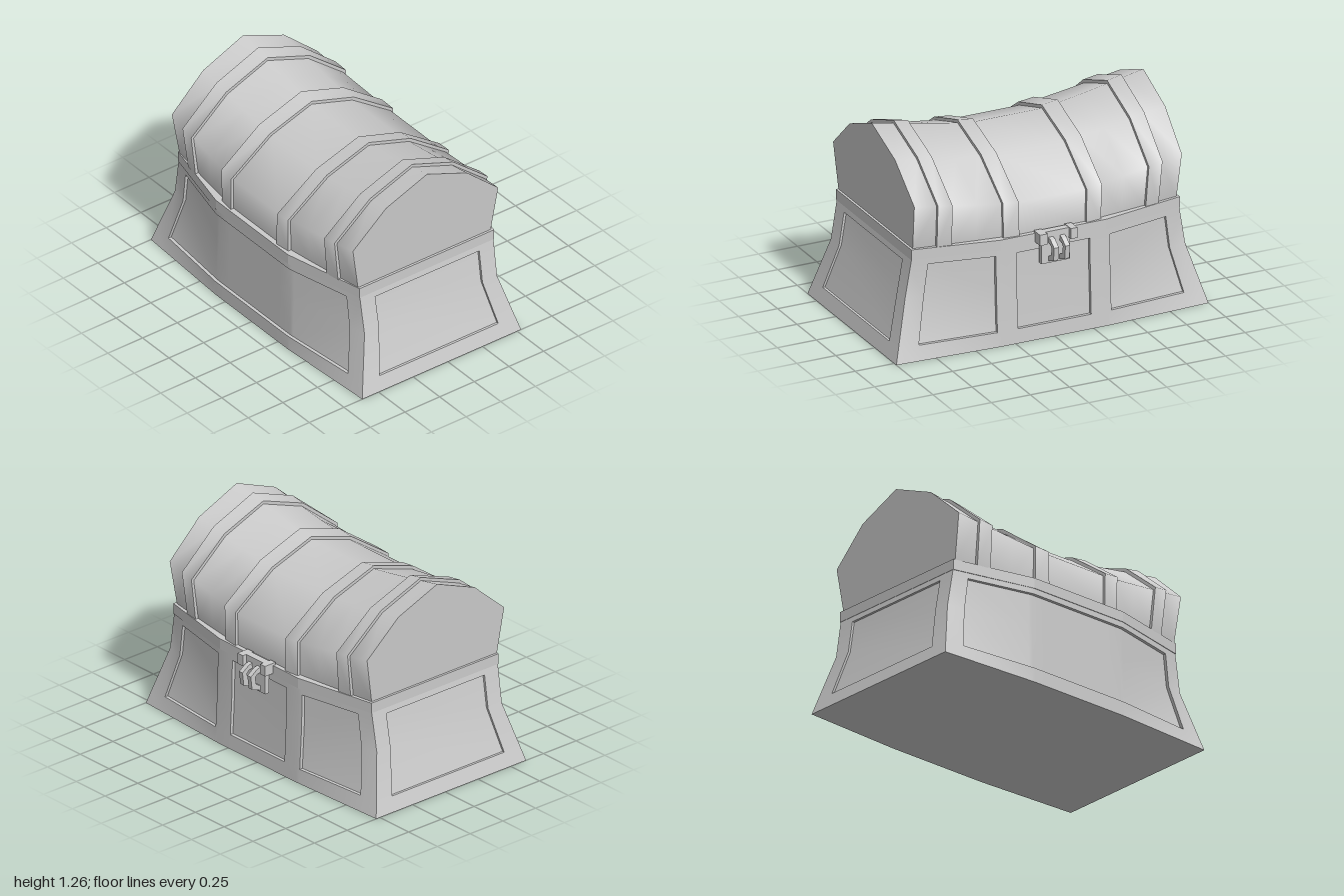
import * as THREE from 'three';
import { toCreasedNormals } from 'three/addons/utils/BufferGeometryUtils.js';

const CX = -0.045; // the box sits off centre because the latch sticks out on +x
const LID_CX = -0.052;
const grey = new THREE.MeshStandardMaterial({ color: 0xcccccc });
const { lerp, clamp } = THREE.MathUtils;

function mesh(name, geometry) {
  const m = new THREE.Mesh(geometry, grey);
  m.name = name;
  return m;
}

// Piecewise linear lookup in [[key, value], ...]
function along(table, y) {
  let i = 0;
  while (i < table.length - 2 && y > table[i + 1][0]) i++;
  const [a, va] = table[i], [b, vb] = table[i + 1];
  return lerp(va, vb, (y - a) / (b - a));
}

function trianglesGeometry(tris, crease) {
  const g = new THREE.BufferGeometry();
  g.setAttribute('position', new THREE.Float32BufferAttribute(tris.flat(), 3));
  g.computeVertexNormals();
  return toCreasedNormals(g, crease);
}

const distance = (a, b) => Math.hypot(a[0] - b[0], a[1] - b[1], a[2] - b[2]);

// Grid surface whose cells can be sunk or raised, with step walls between them.
// point(u, v, depth) -> [x, y, z]; depthAt(uMid, vMid) -> depth of a cell.
function steppedSurface(us, vs, point, depthAt, crease) {
  const tris = [];
  // Split along the shorter diagonal, so mirrored halves match
  const quad = (a, b, c, d) => (distance(a, c) < distance(b, d)
    ? tris.push(a, b, c, a, c, d) : tris.push(a, b, d, b, c, d));
  const depth = (i, j) => depthAt((us[i] + us[i + 1]) / 2, (vs[j] + vs[j + 1]) / 2);
  for (let i = 0; i < us.length - 1; i++) {
    for (let j = 0; j < vs.length - 1; j++) {
      const [u0, u1, v0, v1] = [us[i], us[i + 1], vs[j], vs[j + 1]];
      const d = depth(i, j);
      quad(point(u0, v0, d), point(u1, v0, d), point(u1, v1, d), point(u0, v1, d));
      if (i < us.length - 2 && depth(i + 1, j) !== d) {
        const e = depth(i + 1, j);
        quad(point(u1, v0, d), point(u1, v0, e), point(u1, v1, e), point(u1, v1, d));
      }
      if (j < vs.length - 2 && depth(i, j + 1) !== d) {
        const e = depth(i, j + 1);
        quad(point(u0, v1, d), point(u1, v1, d), point(u1, v1, e), point(u0, v1, e));
      }
    }
  }
  return trianglesGeometry(tris, crease);
}

const mirrored = (list) => [...list.map((t) => -t).reverse(), ...list];

// Chest body: flared foot, long sides bulging at mid length
const endWidth = [[0, 0.573], [0.36, 0.478], [0.6, 0.482]];
const latchMid = [[0, 0.605], [0.36, 0.588], [0.6, 0.585]];
const hingeMid = [[0, 0.61], [0.36, 0.605], [0.6, 0.603]];
const halfLength = [[0, 1], [0.36, 0.897], [0.6, 0.857]];

function sidePoint(s, t, y, depth) {
  const a = Math.abs(t);
  const k = clamp((a - 0.34) / 0.66, 0, 1);
  const width = lerp(along(s > 0 ? latchMid : hingeMid, y), along(endWidth, y), k);
  // Only the outer part leans in with the ends; the middle panels stay upright
  const lean = clamp((a - 0.365) / 0.635, 0, 1) * (1 - along(halfLength, y));
  return [CX + s * (width - depth), y, -s * Math.sign(t) * (a - lean)];
}

function createBody() {
  const body = new THREE.Group();
  body.name = 'chestBody';
  const rows = [0, 0.09, 0.36, 0.56, 0.6];
  const inRows = (y) => y > 0.09 && y < 0.56;

  // Long walls: three panels on the latch side, one long panel behind
  const isPanel = (s, t) => t < 0.87 && (s < 0 || t < 0.235 || t > 0.365);
  for (const s of [1, -1]) {
    const wall = steppedSurface(
      mirrored([0.235, 0.34, 0.365, 0.87, 1]), rows,
      (t, y, d) => sidePoint(s, t, y, d),
      (t, y) => (inRows(y) && isPanel(s, Math.abs(t)) ? 0.02 : 0), 0.6);
    body.add(mesh(s > 0 ? 'latchSideWall' : 'hingeSideWall', wall));

    // Short end walls with one panel each
    const end = steppedSurface(
      mirrored([0.78, 1]), rows,
      (t, y, d) => [CX + s * t * along(endWidth, y), y, s * (along(halfLength, y) - d)],
      (t, y) => (inRows(y) && Math.abs(t) < 0.78 ? 0.015 : 0), 0.6);
    body.add(mesh(s > 0 ? 'frontEndWall' : 'backEndWall', end));
  }

  const floor = new THREE.ShapeGeometry(planShape(0.573, 0.605, 0.61, 1));
  floor.rotateX(Math.PI / 2);
  body.add(mesh('floor', floor));
  return body;
}

// Barrel-sided outline seen from above
function planShape(end, latchSide, hingeSide, len) {
  const pts = [[end, -len], [latchSide, -0.34], [latchSide, 0.34], [end, len],
    [-end, len], [-hingeSide, 0.34], [-hingeSide, -0.34], [-end, -len]];
  return new THREE.Shape(pts.map(([x, z]) => new THREE.Vector2(CX + x, z)));
}

// Lid half profiles, from the rim up to the ridge
const lidEnd = [[0.478, 0.655], [0.524, 0.94], [0.292, 1.147], [0, 1.265]];
const lidMid = [[0.567, 0.655], [0.567, 0.86], [0.292, 1.05], [0, 1.145]];

function lidPoint(t, v, depth) {
  const i = v <= 3 ? v : 6 - v;
  const s = v <= 3 ? 1 : -1;
  const k = Math.pow(clamp((Math.abs(t) - 0.25) / 0.75, 0, 1), 1.15);
  const x = lerp(lidMid[i][0], lidEnd[i][0], k);
  const y = lerp(lidMid[i][1], lidEnd[i][1], k);
  const push = new THREE.Vector2(x / 0.58, (y - 0.655) / 0.5).setLength(depth);
  const z = -t * (0.845 + 0.025 * (y - 0.655) / 0.6);
  return [LID_CX + s * (x - push.x), y - push.y, z];
}

function createLid() {
  const lid = new THREE.Group();
  lid.name = 'lid';
  // Saddle-backed shell with four raised straps
  const isStrap = (t) => (t > 0.255 && t < 0.37) || (t > 0.735 && t < 0.84);
  const vs = [0, 1, 2, 3, 4, 5, 6];
  lid.add(mesh('lidShellWithStraps', steppedSurface(
    mirrored([0.25, 0.255, 0.37, 0.55, 0.735, 0.84, 1]), vs, lidPoint,
    (t) => (isStrap(Math.abs(t)) ? -0.02 : 0), 1.15)));

  // Flat end caps
  for (const t of [-1, 1]) {
    const tris = [];
    for (let v = 1; v < 6; v++) {
      const a = lidPoint(t, v, 0), b = lidPoint(t, v + 1, 0);
      tris.push(lidPoint(t, 0, 0), ...(t < 0 ? [a, b] : [b, a]));
    }
    lid.add(mesh(t < 0 ? 'lidFrontCap' : 'lidBackCap', trianglesGeometry(tris, 0.3)));
  }

  // Rim belt between lid and body
  const outline = planShape(0.486, 0.588, 0.607, 0.86);
  const rim = new THREE.ExtrudeGeometry(outline, { depth: 0.065, bevelEnabled: false });
  rim.rotateX(-Math.PI / 2).translate(0, 0.595, 0);
  lid.add(mesh('lidRim', rim));
  return lid;
}

function createLatch() {
  const latch = new THREE.Group();
  latch.name = 'latch';
  const box = (name, x0, x1, y0, y1, z0, z1) => {
    const g = new THREE.BoxGeometry(x1 - x0, y1 - y0, z1 - z0);
    g.translate((x0 + x1) / 2, (y0 + y1) / 2, (z0 + z1) / 2);
    latch.add(mesh(name, g));
  };
  box('latchBar', 0.535, 0.578, 0.615, 0.672, -0.09, 0.08);
  box('latchPlate', 0.548, 0.576, 0.475, 0.62, -0.09, 0.095);
  box('latchBracketBack', 0.525, 0.605, 0.61, 0.675, -0.122, -0.08);
  box('latchBracketFront', 0.525, 0.605, 0.605, 0.672, 0.07, 0.118);

  // Two bent prongs
  const pts = [[0.572, 0.485], [0.642, 0.512], [0.652, 0.595], [0.605, 0.628], [0.572, 0.638],
    [0.572, 0.602], [0.602, 0.598], [0.618, 0.58], [0.61, 0.535], [0.572, 0.515]];
  const shape = new THREE.Shape(pts.map((p) => new THREE.Vector2(...p)));
  for (const z of [-0.052, 0.02]) {
    const g = new THREE.ExtrudeGeometry(shape, { depth: 0.03, bevelEnabled: false });
    g.translate(0, 0, z);
    latch.add(mesh('latchProng', g));
  }
  return latch;
}

export function createModel() {
  const chest = new THREE.Group();
  chest.name = 'chest';
  chest.add(createBody(), createLid(), createLatch());
  return chest;
}
